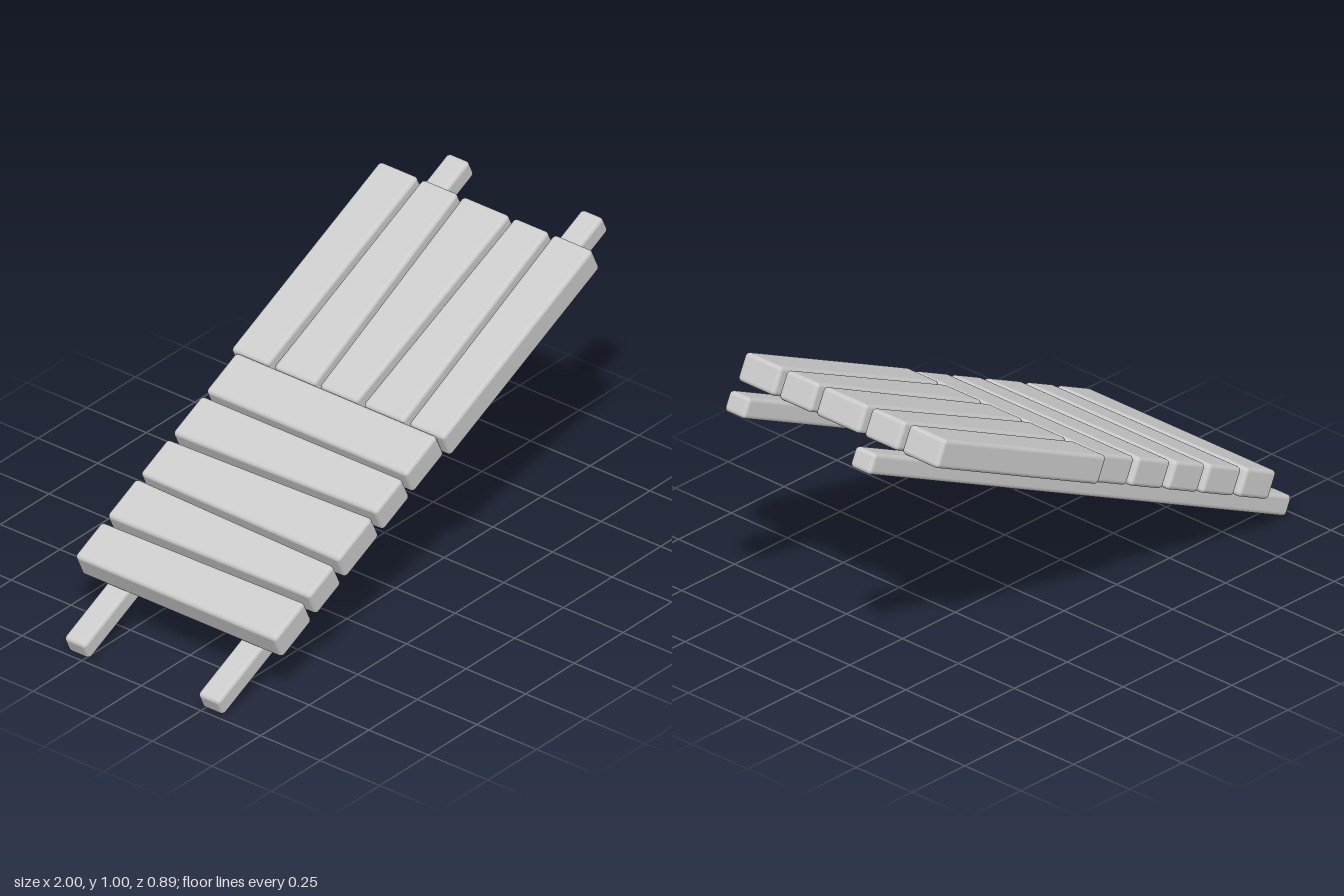
import * as THREE from 'three';
import { RoundedBoxGeometry } from 'three/addons/geometries/RoundedBoxGeometry.js';

const material = new THREE.MeshStandardMaterial({ color: 0xcccccc });
const SLOPE = THREE.MathUtils.degToRad(25);
const RAIL_THICK = 0.073, PLANK_THICK = 0.1, PLANK_BOTTOM = 0.038, BEVEL = 0.015;

// Rounded board; `a` is its low and high edge at one end, `b` at the other.
// axis 'x': edges are x positions, tapering along z; axis 'z': the reverse.
function plank(name, axis, a, b, from, to) {
  const along = axis === 'x' ? 'z' : 'x';
  const low = (a[0] + b[0]) / 2, high = (a[1] + b[1]) / 2;
  const width = high - low, length = to - from;
  const geo = axis === 'x'
    ? new RoundedBoxGeometry(width, PLANK_THICK, length, 3, BEVEL)
    : new RoundedBoxGeometry(length, PLANK_THICK, width, 3, BEVEL);
  const pos = geo.attributes.position, p = new THREE.Vector3();
  for (let i = 0; i < pos.count; i++) {
    p.fromBufferAttribute(pos, i);
    const t = p[along] / length + 0.5, s = p[axis] / width + 0.5;
    const lo = THREE.MathUtils.lerp(a[0], b[0], t);
    const hi = THREE.MathUtils.lerp(a[1], b[1], t);
    p[axis] = THREE.MathUtils.lerp(lo, hi, s);
    p[along] += (from + to) / 2;
    p.y += PLANK_BOTTOM + PLANK_THICK / 2;
    pos.setXYZ(i, p.x, p.y, p.z);
  }
  const mesh = new THREE.Mesh(geo, material);
  mesh.name = name;
  return mesh;
}

export function createModel() {
  const model = new THREE.Group();
  model.name = 'plankRamp';
  const ramp = new THREE.Group();
  ramp.name = 'slopedDeck';
  ramp.rotation.z = SLOPE;
  ramp.position.y = 0.49;
  model.add(ramp);

  // Two long rails under the deck
  for (const side of [-1, 1]) {
    const rail = new THREE.Mesh(new RoundedBoxGeometry(2.184, RAIL_THICK, 0.091, 3, BEVEL), material);
    rail.name = side > 0 ? 'frontRail' : 'backRail';
    rail.position.z = side * 0.281;
    ramp.add(rail);
  }

  // Cross planks on the lower half: horizontal edges at the back, then the front
  const toSlope = (x) => (x + (PLANK_BOTTOM + PLANK_THICK) * Math.sin(SLOPE)) / Math.cos(SLOPE);
  const cross = [
    [[-0.831, -0.688], [-0.831, -0.677]],
    [[-0.666, -0.511], [-0.655, -0.527]],
    [[-0.494, -0.351], [-0.506, -0.331]],
    [[-0.329, -0.174], [-0.312, -0.174]],
    [[-0.158, 0.002], [-0.158, 0.002]],
  ];
  cross.forEach(([back, front], i) => ramp.add(
    plank(`crossPlank${i + 1}`, 'x', back.map(toSlope), front.map(toSlope), -0.422, 0.422)));

  // Lengthwise planks on the upper half: z edges at the low end, then the high end
  const lengthwise = [
    [[-0.447, -0.29], [-0.447, -0.286]],
    [[-0.268, -0.094], [-0.267, -0.118]],
    [[-0.075, 0.083], [-0.097, 0.099]],
    [[0.107, 0.28], [0.12, 0.263]],
    [[0.3, 0.448], [0.284, 0.448]],
  ];
  lengthwise.forEach(([low, high], i) => ramp.add(
    plank(`lengthwisePlank${i + 1}`, 'z', low, high, 0.066, 0.915)));

  return model;
}
